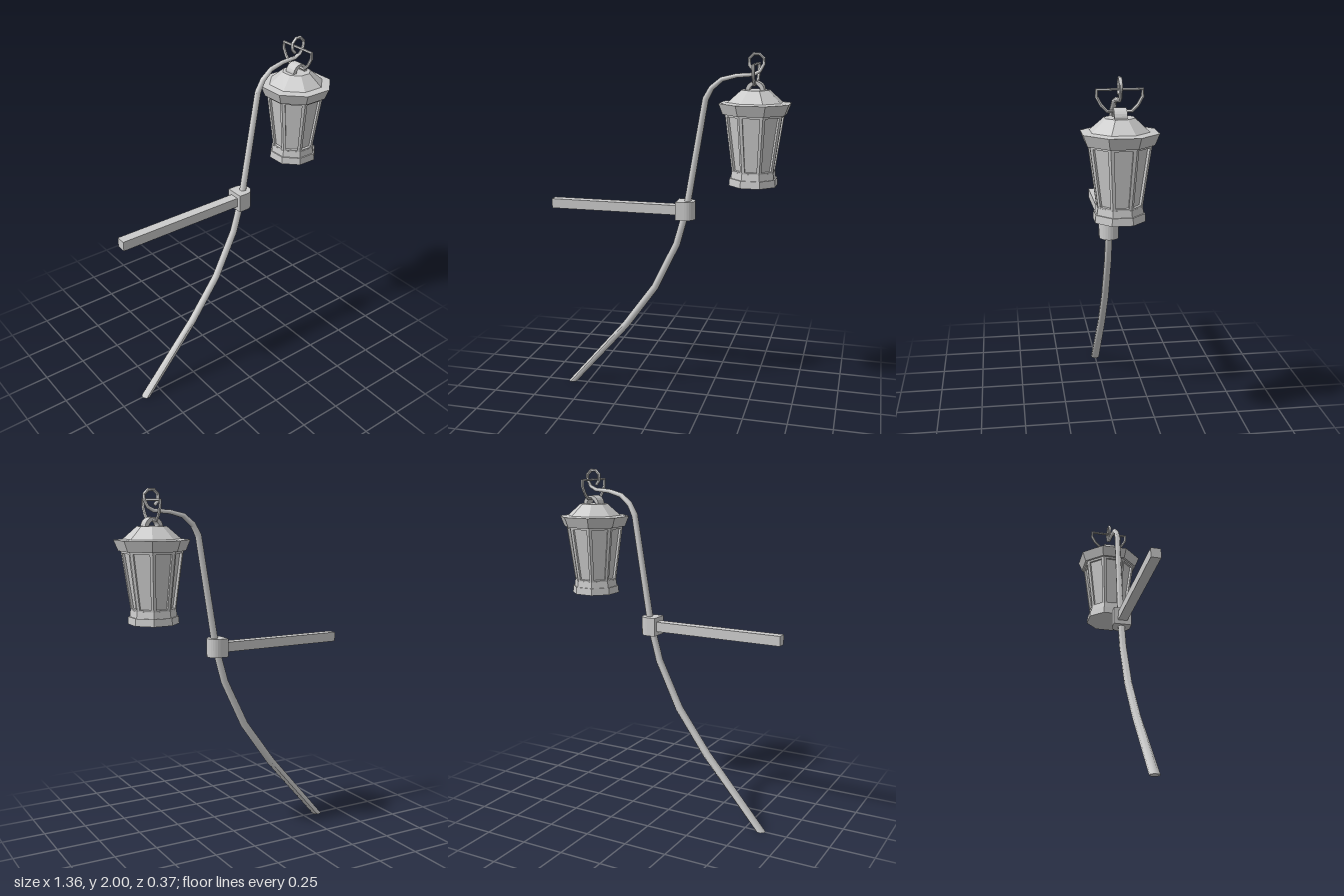
import * as THREE from 'three';
import { toCreasedNormals } from 'three/addons/utils/BufferGeometryUtils.js';

const smooth = new THREE.MeshStandardMaterial({ color: 0xcccccc });
const flat = new THREE.MeshStandardMaterial({ color: 0xcccccc, flatShading: true });

function add(parent, name, geometry, material = flat) {
  const mesh = new THREE.Mesh(geometry, material);
  mesh.name = name;
  parent.add(mesh);
  return mesh;
}

// Tapered rod through [x, y, radius] points in the XY plane, mitred at the bends
function rod(points, { sides = 8, closed = false, flatStart = false } = {}) {
  const n = points.length, pos = [], index = [];
  const at = (i) => points[closed ? (i + n) % n : Math.min(Math.max(i, 0), n - 1)];
  const dir = (a, b) => new THREE.Vector2(b[0] - a[0], b[1] - a[1]).normalize();
  for (let i = 0; i < n; i++) {
    const [x, y, r] = points[i];
    const d = dir(at(i - 1), at(i)).add(dir(at(i), at(i + 1))).normalize();
    if (flatStart && i === 0) d.set(0, 1); // foot cut level with the ground
    for (let j = 0; j < sides; j++) {
      const a = (j + 0.5) / sides * Math.PI * 2;
      pos.push(x + d.y * r * Math.cos(a), y - d.x * r * Math.cos(a), -r * Math.sin(a));
    }
  }
  for (let i = 0; i < (closed ? n : n - 1); i++) {
    for (let j = 0; j < sides; j++) {
      const k = (j + 1) % sides, p = i * sides, q = ((i + 1) % n) * sides;
      index.push(p + j, p + k, q + k, p + j, q + k, q + j);
    }
  }
  if (!closed) {
    const e = (n - 1) * sides;
    for (let j = 1; j < sides - 1; j++) index.push(0, j + 1, j, e, e + j, e + j + 1);
  }
  const g = new THREE.BufferGeometry();
  g.setAttribute('position', new THREE.Float32BufferAttribute(pos, 3));
  g.setIndex(index);
  return toCreasedNormals(g, 0.82);
}

function outline(points, Type = THREE.Shape) {
  return new Type(points.map(([x, y]) => new THREE.Vector2(x, y)));
}

function createLantern() {
  const lantern = new THREE.Group();
  lantern.name = 'lantern';

  // Octagonal base, recessed panes, rim and roof; x is the distance to a flat side
  const profile = [
    [0, 1.285], [0.127, 1.285], [0.124, 1.325], [0.117, 1.325], [0.113, 1.36],
    [0.098, 1.36], [0.139, 1.672], [0.165, 1.672], [0.187, 1.73],
    [0.142, 1.735], [0.073, 1.8], [0, 1.8],
  ].map(([a, y]) => new THREE.Vector2(a / Math.cos(Math.PI / 8), y));
  add(lantern, 'lanternBody', new THREE.LatheGeometry(profile, 8, Math.PI / 8));

  // Eight leaning window frames
  const frame = outline([[-0.0464, 0], [0.0464, 0], [0.0634, 0.315], [-0.0634, 0.315]]);
  frame.holes.push(outline([[-0.032, 0.008], [-0.046, 0.303], [0.046, 0.303], [0.032, 0.008]], THREE.Path));
  const frameGeometry = new THREE.ExtrudeGeometry(frame, { depth: 0.016, bevelEnabled: false });
  frameGeometry.translate(0, 0, -0.016).rotateX(0.13).translate(0, 1.36, 0.112);
  for (let i = 0; i < 8; i++) {
    add(lantern, 'windowFrame', frameGeometry).rotation.y = i * Math.PI / 4;
  }

  // Arched lug on the roof
  const arch = new THREE.Shape();
  arch.absarc(0, 0, 0.05, 0, Math.PI, false);
  arch.absarc(0, 0, 0.029, Math.PI, 0, true);
  const lug = new THREE.ExtrudeGeometry(arch, { depth: 0.064, bevelEnabled: false, curveSegments: 6 });
  add(lantern, 'roofLug', lug.translate(0, 1.798, -0.032));

  // Wire handle running through the lug, in the side plane
  const half = [[0.06, 1.83], [0.09, 1.86], [0.112, 1.9], [0.112, 1.935]];
  const wire = [...half, ...half.map(([x, y]) => [-x, y]).reverse()].map((p) => [...p, 0.009]);
  const handle = add(lantern, 'handle', rod(wire, { closed: true, sides: 6 }), smooth);
  handle.rotation.y = Math.PI / 2;

  lantern.position.x = 0.49;
  return lantern;
}

export function createModel() {
  const model = new THREE.Group();
  model.name = 'hangingLantern';

  // Bent pole ending in a curled hook
  add(model, 'pole', rod([
    [-0.595, 0, 0.027], [-0.25, 0.4, 0.023], [-0.07, 0.65, 0.022], [0.06, 0.92, 0.021],
    [0.115, 1.12, 0.02], [0.218, 1.745, 0.018], [0.25, 1.805, 0.016], [0.305, 1.852, 0.014],
    [0.385, 1.873, 0.012], [0.475, 1.88, 0.011], [0.51, 1.898, 0.01], [0.53, 1.935, 0.009],
    [0.53, 1.965, 0.009], [0.505, 1.988, 0.009], [0.475, 1.988, 0.009], [0.453, 1.965, 0.009],
    [0.453, 1.93, 0.009], [0.472, 1.907, 0.009],
  ], { flatStart: true }), smooth);

  // Clamp: square at the arm, rounded on the far side
  const clamp = new THREE.Shape();
  clamp.moveTo(0.063, -0.053);
  clamp.lineTo(0.113, -0.053);
  clamp.absarc(0.113, 0, 0.053, -Math.PI / 2, Math.PI / 2, false);
  clamp.lineTo(0.063, 0.053);
  const clampGeometry = new THREE.ExtrudeGeometry(clamp, { depth: 0.105, bevelEnabled: false, curveSegments: 6 });
  add(model, 'clamp', clampGeometry.rotateX(-Math.PI / 2).translate(0, 1.07, 0));

  // Horizontal arm
  add(model, 'arm', new THREE.BoxGeometry(0.75, 0.055, 0.055).translate(-0.309, 1.122, 0));

  model.add(createLantern());
  return model;
}
